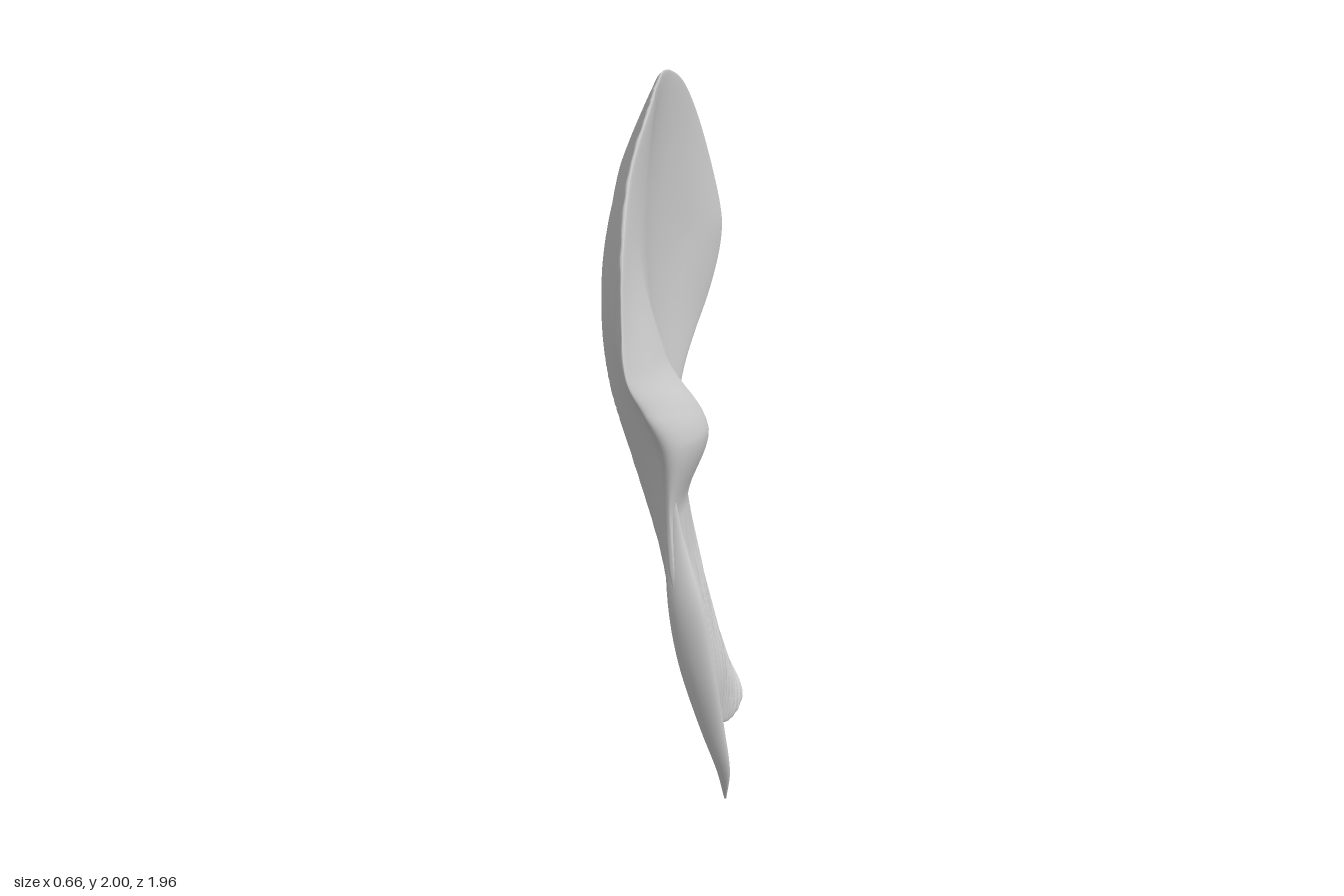
import * as THREE from 'three';

// Rim of the fan-shaped sheet: z, y, x (front tip, over the top, round the back, down to the neck)
const RIM = [
  [0.98, 1.31, 0.115], [0.94, 1.47, 0.09], [0.82, 1.66, 0.055], [0.6, 1.84, 0.01], [0.4, 1.95, -0.012],
  [0.2, 1.99, -0.055], [-0.1, 2, -0.135], [-0.5, 1.99, -0.225], [-0.7, 1.92, -0.235], [-0.87, 1.74, -0.225],
  [-0.98, 1.42, -0.19], [-0.94, 1.23, -0.21], [-0.83, 1.08, -0.235], [-0.5, 0.915, -0.2], [-0.15, 0.78, -0.115],
  [0.1, 0.67, -0.01], [0.21, 0.52, 0.055], [0.28, 0.35, 0.145], [0.35, 0.21, 0.26], [0.45, 0.16, 0.255],
  [0.56, 0.19, 0.245], [0.66, 0.24, 0.255], [0.74, 0.26, 0.268], [0.785, 0.45, 0.245], [0.805, 0.65, 0.2],
  [0.79, 0.84, 0.175], [0.84, 1.06, 0.175], [0.92, 1.2, 0.145],
];
// Belly of the sheet: z, y, x, half thickness
const BELLY = [
  [-0.75, 1.4, -0.265, 0.038], [-0.5, 1.45, -0.285, 0.045], [-0.5, 1.75, -0.268, 0.045], [0, 1.4, -0.2, 0.06],
  [0, 1.75, -0.18, 0.055], [0.3, 1.4, -0.11, 0.075], [0.35, 1.7, -0.075, 0.065], [0.6, 1.4, -0.005, 0.08],
  [0.8, 1.4, 0.06, 0.055], [0.68, 1.08, 0.1, 0.085], [0.42, 1.0, 0.01, 0.08], [0.1, 1.0, -0.13, 0.065],
  [-0.4, 1.1, -0.245, 0.045], [0.5, 0.6, 0.145, 0.055], [0.48, 0.35, 0.22, 0.05],
];

// Thin-plate interpolation through points [z, y, value]
function thinPlate(points) {
  const n = points.length, size = n + 3;
  const kernel = (a, b, c, d) => {
    const r2 = (a - c) ** 2 + (b - d) ** 2;
    return r2 < 1e-9 ? 0 : r2 * Math.log(r2);
  };
  const m = Array.from({ length: size }, () => new Array(size + 1).fill(0));
  points.forEach(([z, y, v], i) => {
    points.forEach(([z2, y2], j) => { m[i][j] = kernel(z, y, z2, y2); });
    [1, z, y].forEach((t, k) => { m[i][n + k] = m[n + k][i] = t; });
    m[i][size] = v;
  });
  for (let c = 0; c < size; c++) {
    let p = c;
    for (let r = c + 1; r < size; r++) if (Math.abs(m[r][c]) > Math.abs(m[p][c])) p = r;
    [m[c], m[p]] = [m[p], m[c]];
    for (let r = 0; r < size; r++) {
      if (r === c) continue;
      const f = m[r][c] / m[c][c];
      for (let k = c; k <= size; k++) m[r][k] -= f * m[c][k];
    }
  }
  const w = m.map((row, i) => row[size] / row[i]);
  return (z, y) => points.reduce((sum, [pz, py], i) => sum + w[i] * kernel(z, y, pz, py),
    w[n] + w[n + 1] * z + w[n + 2] * y);
}

// Closed-ring grid: rows of vertices joined around and along
function ringGeometry(rows, columns, vertexAt) {
  const positions = [], index = [];
  for (let k = 0; k <= rows; k++) {
    for (let j = 0; j < columns; j++) {
      positions.push(...vertexAt(k, j));
      if (k === rows) continue;
      const a = k * columns + j, b = k * columns + (j + 1) % columns;
      index.push(a, b, b + columns, a, b + columns, a + columns);
    }
  }
  const g = new THREE.BufferGeometry();
  g.setAttribute('position', new THREE.Float32BufferAttribute(positions, 3));
  g.setIndex(index);
  g.computeVertexNormals();
  return g;
}

const smooth = THREE.MathUtils.smoothstep;

// Fan sheet: inner face from its middle out to the rim, then back over the outer face
function fanGeometry() {
  const middle = thinPlate([...RIM, ...BELLY.map(([z, y, x]) => [z, y, x])]);
  const half = thinPlate([
    ...RIM.map(([z, y]) => [z, y, z > 0.9 ? 0.015 : 0.032]),
    ...BELLY.map(([z, y, , t]) => [z, y, t]),
  ]);
  const outline = new THREE.CatmullRomCurve3(RIM.map(([z, y]) => new THREE.Vector3(0, y, z)), true);
  const rings = 50, columns = 480, cz = 0.35, cy = 1.1;
  const edge = Array.from({ length: columns }, (_, j) => outline.getPoint(j / columns));
  return ringGeometry(rings * 2, columns, (k, j) => {
    const angle = (Math.PI * k) / (rings * 2);
    const s = Math.sin(angle), c = k === rings ? 0 : Math.cos(angle);
    const z = cz + (edge[j].z - cz) * s, y = cy + (edge[j].y - cy) * s;
    // the outer face rolls over the rim, the inner face leaves it gently above the neck
    const depth = Math.abs(c) ** (c < 0 ? 0.6 : 0.65 + 0.45 * smooth(y, 0.7, 1.2));
    let t = Math.max(half(z, y), 0.012);
    // fibres fanning out from the neck
    const phi = Math.atan2(z - 0.55, y + 0.15), r = Math.hypot(z - 0.55, y + 0.15);
    const fibre = smooth(s, 0, 0.12)
      * (Math.sin(phi * 170 + 2 * Math.sin(r * 6)) + Math.sin(phi * 97 - 3 * Math.sin(r * 4)));
    if (c < 0) t += 0.003 * fibre;
    else {
      t += 0.004 * fibre * (1 - smooth(y, 0.6, 0.9));
      // raised pad at the front of the inner face, with a steep back edge
      const back = 0.45 + 0.07 * smooth(y, 1.1, 1.3);
      const crest = 0.075 * (1 - smooth(y, 1.08, 1.32)) + 0.03 * (1 - smooth(y, 1.3, 1.65));
      t += crest * smooth(z, back, back + 0.13) * smooth(y, 0.86, 1.1);
    }
    return [middle(z, y) + Math.sign(c) * depth * t, y, z];
  });
}

// Front tendon: broad, flattened tapering sections, x, y, z, radius
function tendonGeometry() {
  const path = [[0.178, 0.92, 0.765, 0.01], [0.185, 0.82, 0.768, 0.026], [0.222, 0.63, 0.785, 0.053],
    [0.25, 0.45, 0.774, 0.054], [0.288, 0.24, 0.738, 0.037], [0.312, 0.1, 0.705, 0.02], [0.308, 0, 0.67, 0.003]];
  const centre = new THREE.CatmullRomCurve3(path.map(([x, y, z]) => new THREE.Vector3(x, y, z)));
  const radius = new THREE.CatmullRomCurve3(path.map((p) => new THREE.Vector3(p[3], p[1], 0)));
  const rows = 36, columns = 20;
  return ringGeometry(rows, columns, (k, j) => {
    const p = centre.getPoint(k / rows), r = radius.getPoint(k / rows).x;
    const a = (-j / columns) * Math.PI * 2;
    return [p.x + r * Math.cos(a), p.y, p.z - 0.5 * r * Math.sin(a)];
  });
}

export function createModel() {
  const group = new THREE.Group();
  group.name = 'fanMuscle';
  const material = new THREE.MeshStandardMaterial({ color: 0xcccccc, side: THREE.DoubleSide });
  const add = (name, geometry) => {
    const mesh = new THREE.Mesh(geometry, material);
    mesh.name = name;
    group.add(mesh);
  };
  add('muscleSheet', fanGeometry());
  add('frontTendon', tendonGeometry());
  return group;
}
